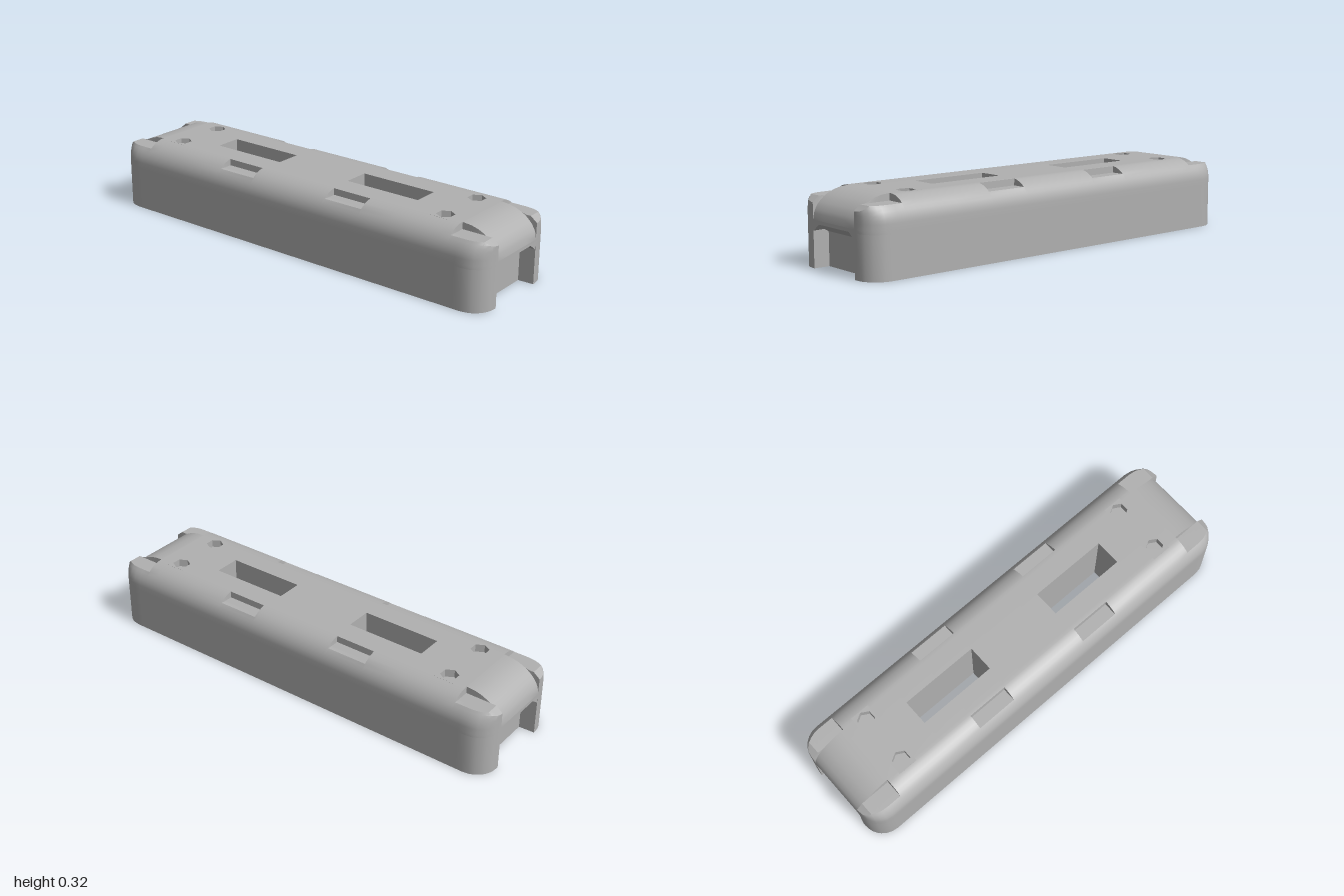
import * as THREE from 'three';
import { toCreasedNormals } from 'three/addons/utils/BufferGeometryUtils.js';

const TOP = 0.325, MID = 0.2, NOTCH = 0.185, HALF = 0.257, R = 0.1;
const SLOT = { x: 0.06, z0: 0.19, z1: 0.555 };
const BOLT = { x: 0.115, z: 0.73, half: 0.045, r: 0.039 };
const E = 0.0005;

const mirrored = (list) => [...list.map((v) => -v).reverse(), ...list];

// grid lines; close pairs make the vertical steps
const XS = mirrored([0.03, SLOT.x, 0.07, 0.145 - E, 0.145 + E, 0.16, 0.165 - E, 0.165 + E,
  0.18, 0.2, 0.215, 0.226, 0.236, 0.245, 0.252, 0.256, HALF]);
const ZS = mirrored([0.1, SLOT.z0, 0.2 - E, 0.2 + E, 0.39 - E, 0.39 + E, SLOT.z1, 0.685, 0.775,
  0.83 - E, 0.83 + E, 0.87, 0.9, 0.93, 0.95, 0.97, 0.98, 0.99, 0.996, 1]);

const arc = (t) => Math.sqrt(1 - THREE.MathUtils.clamp(t, 0, 1) ** 2);

// half width of the footprint, with rounded corners
const halfWidth = (z) => HALF - R + R * arc((Math.abs(z) - (1 - R)) / R);

function surfaceX(x, z) {
  const a = Math.abs(x), k = 0.146;
  if (a <= k) return x;
  return Math.sign(x) * (k + (a - k) * (halfWidth(z) - k) / (HALF - k));
}

// rounded top with ledges at the corners and along the sides
function surfaceY(x, z) {
  const ax = Math.abs(x), az = Math.abs(z);
  const side = 0.225 + 0.1 * arc((ax - 0.15) / 0.107);
  if (ax > 0.145 && az > 0.83) return Math.min(side, 0.295 - Math.max(0, az - 0.97) * 0.8);
  if (ax > 0.165 && az > 0.2 && az < 0.39) return Math.min(side, 0.295);
  return Math.min(side, MID + 0.125 * arc((az - 0.83) / 0.17));
}

const isOpen = (x, z) => {
  const ax = Math.abs(x), az = Math.abs(z);
  return (ax < SLOT.x && az > SLOT.z0 && az < SLOT.z1) ||
    (Math.abs(ax - BOLT.x) < BOLT.half && Math.abs(az - BOLT.z) < BOLT.half);
};

function upperShell() {
  const pos = [];
  const quad = (a, b, c, d) => pos.push(...a, ...b, ...c, ...a, ...c, ...d);
  const P = (i, j) => [surfaceX(XS[i], ZS[j]), surfaceY(XS[i], ZS[j]), ZS[j]];
  const wall = (p, q) => quad(p, q, [q[0], MID, q[2]], [p[0], MID, p[2]]);
  const nx = XS.length - 1, nz = ZS.length - 1;
  for (let i = 0; i < nx; i++) {
    for (let j = 0; j < nz; j++) {
      if (isOpen((XS[i] + XS[i + 1]) / 2, (ZS[j] + ZS[j + 1]) / 2)) continue;
      quad(P(i, j), P(i, j + 1), P(i + 1, j + 1), P(i + 1, j));
    }
  }
  for (let j = 0; j < nz; j++) {
    wall(P(nx, j), P(nx, j + 1));
    wall(P(0, j + 1), P(0, j));
  }
  for (let i = 0; i < nx; i++) {
    wall(P(i + 1, nz), P(i, nz));
    wall(P(i, 0), P(i + 1, 0));
  }
  const g = new THREE.BufferGeometry();
  g.setAttribute('position', new THREE.Float32BufferAttribute(pos, 3));
  return toCreasedNormals(g, 0.6);
}

const loop = (pts) => pts.map(([x, y]) => new THREE.Vector2(x, y));
const rect = (x, z0, z1) => loop([[-x, z0], [x, z0], [x, z1], [-x, z1]]);

// plan shape with both slots, optionally with the end notches cut in
function footprint(notched) {
  const right = ZS.map((z) => [halfWidth(z), z]);
  const left = [...ZS].reverse().map((z) => [-halfWidth(z), z]);
  const end = (s) => (notched
    ? [[0.145 * s, s], [0.142 * s, 0.93 * s], [-0.142 * s, 0.93 * s], [-0.145 * s, s]] : []);
  const shape = new THREE.Shape(loop([...right, ...end(1), ...left, ...end(-1)]));
  for (const s of [-1, 1]) shape.holes.push(new THREE.Path(rect(SLOT.x, s * SLOT.z0, s * SLOT.z1)));
  return shape;
}

// extrude a plan shape upwards between two heights
function slab(shape, y0, y1) {
  const g = new THREE.ExtrudeGeometry(shape, { depth: y1 - y0, bevelEnabled: false });
  g.rotateX(-Math.PI / 2).translate(0, y0, 0);
  return toCreasedNormals(g, 0.6);
}

export function createModel() {
  const group = new THREE.Group();
  const concrete = new THREE.MeshStandardMaterial({ color: 0xb0b0b0 });
  concrete.name = 'concrete grey';
  const add = (name, geometry, parent = group) => {
    const mesh = new THREE.Mesh(geometry, concrete);
    mesh.name = name;
    parent.add(mesh);
    return mesh;
  };

  add('upperShell', upperShell());
  add('lowerBody', slab(footprint(true), 0, NOTCH));
  add('middleBody', slab(footprint(false), NOTCH, MID));

  // walls of the through slots
  const frame = new THREE.Shape(rect(SLOT.x + 0.01, SLOT.z0 - 0.01, SLOT.z1 + 0.01));
  frame.holes.push(new THREE.Path(rect(SLOT.x, SLOT.z0, SLOT.z1)));
  for (const s of [-1, 1]) {
    add('slotLining', slab(frame, MID, TOP - 0.001)).rotation.y = s > 0 ? 0 : Math.PI;
  }

  // six-sided bolt recesses
  const h = BOLT.half;
  const plate = new THREE.Shape(rect(h, -h, h));
  const hexagon = Array.from({ length: 6 }, (_, i) =>
    [BOLT.r * Math.cos(i * Math.PI / 3), BOLT.r * Math.sin(i * Math.PI / 3)]);
  plate.holes.push(new THREE.Path(loop(hexagon)));
  const plateGeometry = slab(plate, 0.28, TOP);
  const floorGeometry = new THREE.BoxGeometry(2 * h, 0.01, 2 * h);
  for (const sx of [-1, 1]) {
    for (const sz of [-1, 1]) {
      add('boltRecess', plateGeometry).position.set(sx * BOLT.x, 0, sz * BOLT.z);
      add('boltRecessFloor', floorGeometry).position.set(sx * BOLT.x, 0.285, sz * BOLT.z);
    }
  }

  // sloping ceiling and chamfered top corners of the end notches
  const wedge = new THREE.Shape(loop([[-0.999, NOTCH], [-0.93, 0.145], [-0.93, NOTCH]]));
  const ceiling = new THREE.ExtrudeGeometry(wedge, { depth: 0.284, bevelEnabled: false });
  ceiling.translate(0, 0, -0.142).rotateY(Math.PI / 2);
  const corner = new THREE.Shape(loop([[0.105, NOTCH], [0.145, 0.155], [0.145, NOTCH]]));
  const chamfer = new THREE.ExtrudeGeometry(corner, { depth: 0.069, bevelEnabled: false });
  chamfer.translate(0, 0, 0.93);
  const mirrorChamfer = chamfer.clone().rotateY(Math.PI).translate(0, 0, 1.929);
  for (const angle of [0, Math.PI]) {
    const notch = new THREE.Group();
    notch.name = 'endNotch';
    notch.rotation.y = angle;
    add('notchCeiling', ceiling, notch);
    add('notchChamferLeft', chamfer, notch);
    add('notchChamferRight', mirrorChamfer, notch);
    group.add(notch);
  }
  return group;
}
